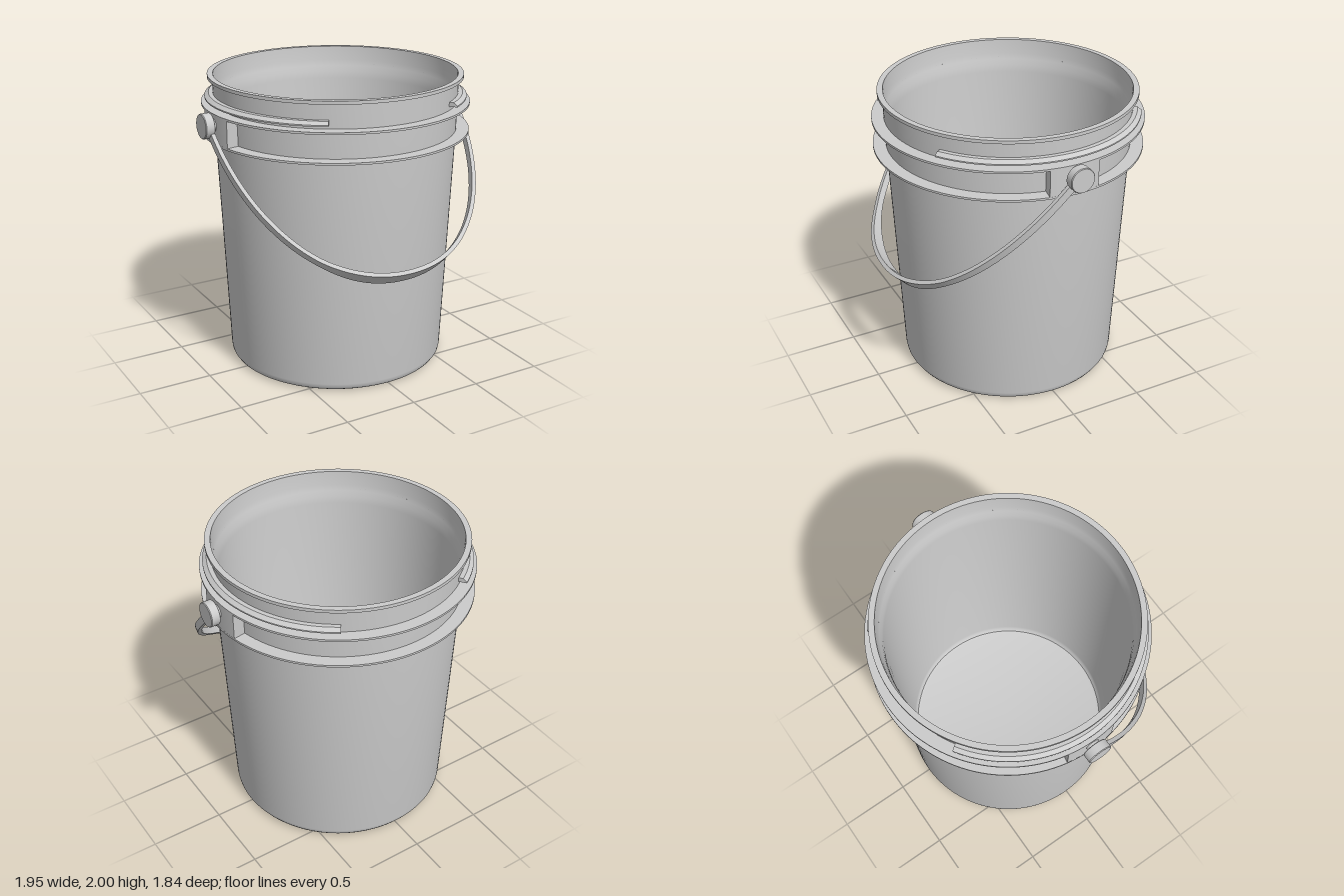
import * as THREE from 'three';
import { toCreasedNormals, mergeGeometries } from 'three/addons/utils/BufferGeometryUtils.js';

const grey = new THREE.MeshStandardMaterial({ color: 0xcccccc, side: THREE.DoubleSide });
const PIN_Y = 1.745;
const SEGMENTS = 128;

function addMesh(parent, name, geometry) {
  const mesh = new THREE.Mesh(toCreasedNormals(geometry, 0.6), grey);
  mesh.name = name;
  parent.add(mesh);
  return mesh;
}

const toPoints = (pairs) => pairs.map(([r, y]) => new THREE.Vector2(r, y));

// Full turn of a closed (radius, height) profile
function turned(pairs) {
  return new THREE.LatheGeometry(toPoints(pairs), SEGMENTS);
}

// Part turn of a closed profile, centred on the +x or -x side, with capped ends
function sector(pairs, side, halfAngle, segments) {
  const start = side * Math.PI / 2 - halfAngle;
  const pts = toPoints(pairs);
  const parts = [new THREE.LatheGeometry([...pts, pts[0].clone()], segments, start, 2 * halfAngle)];
  for (const phi of [start, start + 2 * halfAngle]) {
    parts.push(new THREE.ShapeGeometry(new THREE.Shape(pts)).rotateY(phi - Math.PI / 2));
  }
  return mergeGeometries(parts);
}

// Flat strap swept along a superelliptic bow, wider at the grip
function handleGeometry() {
  const N = 96, positions = [], index = [];
  const bow = (t) => {
    const c = Math.cos(t), s = Math.max(Math.sin(t), 0);
    return new THREE.Vector2(0.93 * Math.sign(c) * Math.abs(c) ** 0.94, 1.265 * s ** 0.94);
  };
  for (let i = 0; i <= N; i++) {
    const t = 0.02 + (Math.PI - 0.04) * i / N;
    const p = bow(t);
    const tangent = bow(t + 0.01).sub(bow(t - 0.01)).normalize();
    const flare = THREE.MathUtils.smoothstep(p.y, 1.02, 1.33);
    const halfWidth = 0.025 + 0.029 * flare;
    for (const [a, b] of [[-1, -1], [1, -1], [1, 1], [-1, 1]]) {
      positions.push(p.x + tangent.y * a * 0.014, -(p.y - tangent.x * a * 0.014), b * halfWidth);
    }
  }
  for (let i = 0; i < N; i++) {
    for (let k = 0; k < 4; k++) {
      const a = i * 4 + k, b = i * 4 + (k + 1) % 4;
      index.push(a, b, a + 4, b, b + 4, a + 4);
    }
  }
  const e = N * 4;
  index.push(0, 2, 1, 0, 3, 2, e, e + 1, e + 2, e, e + 2, e + 3);
  const g = new THREE.BufferGeometry();
  g.setAttribute('position', new THREE.Float32BufferAttribute(positions, 3));
  g.setIndex(index);
  return g;
}

export function createModel() {
  const bucket = new THREE.Group();
  bucket.name = 'bucket';

  // Hollow tapered shell with rounded base and rolled-out rim
  addMesh(bucket, 'shell', turned([
    [0, 0], [0.69, 0], [0.712, 0.004], [0.73, 0.015], [0.741, 0.032], [0.745, 0.055],
    [0.81, 1.62], [0.815, 1.81], [0.818, 1.978], [0.85, 1.978], [0.85, 2],
    [0.812, 2], [0.805, 1.9], [0.797, 1.86], [0.785, 1.82], [0.78, 1.77],
    [0.718, 0.09], [0.712, 0.06], [0.7, 0.042], [0.68, 0.035], [0, 0.035],
  ]));

  // Two thin flanges around the neck
  for (const [name, y] of [['lowerFlange', 1.615], ['upperFlange', 1.805]]) {
    addMesh(bucket, name, turned([
      [0.79, y], [0.895, y], [0.895, y + 0.014], [0.79, y + 0.014],
    ]));
  }

  for (const side of [1, -1]) {
    const label = side > 0 ? 'left' : 'right';

    // Ridge that catches the lid
    addMesh(bucket, label + 'LidRidge', sector([
      [0.8, 1.845], [0.872, 1.847], [0.872, 1.856], [0.845, 1.875], [0.8, 1.875],
    ], side, 1.0, 48));

    // Solid ear between the flanges
    addMesh(bucket, label + 'Ear', sector([
      [0.79, 1.616], [0.894, 1.616], [0.894, 1.818], [0.79, 1.818],
    ], side, 0.191, 16));

    // Pivot: narrow stem and round bevelled head
    const pivot = addMesh(bucket, label + 'Pivot', new THREE.LatheGeometry(toPoints([
      [0, 0.87], [0.045, 0.87], [0.045, 0.914], [0.078, 0.914], [0.082, 0.918],
      [0.082, 0.972], [0.078, 0.977], [0, 0.977],
    ]), 48));
    pivot.rotation.z = -side * Math.PI / 2;
    pivot.position.y = PIN_Y;
  }

  // Handle hanging forward at 45 degrees
  const handle = addMesh(bucket, 'handle', handleGeometry());
  handle.position.y = PIN_Y;
  handle.rotation.x = -Math.PI / 4;

  bucket.position.z = -0.02;
  const model = new THREE.Group();
  model.name = 'bucketModel';
  model.add(bucket);
  return model;
}
